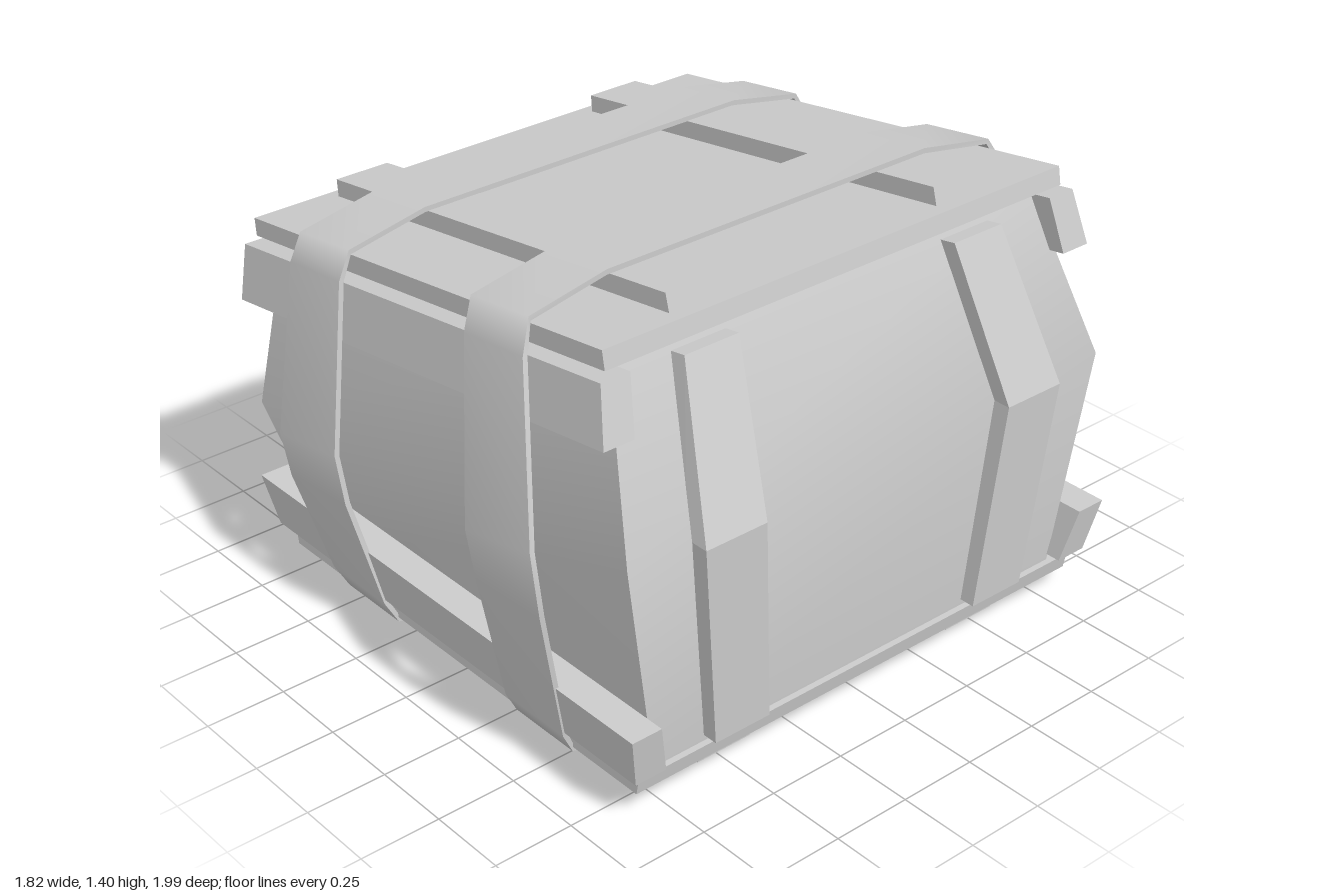
import * as THREE from 'three';

const material = new THREE.MeshStandardMaterial({ color: 0xcccccc });
const bentMaterial = new THREE.MeshStandardMaterial({ color: 0xcccccc, flatShading: true });

// Lofts four-cornered rings: smooth along the loft, sharp at the four corners.
function loft(name, rings, { closed = false, mat = material } = {}) {
  const positions = [], index = [];
  const n = rings.length;
  for (let side = 0; side < 4; side++) {
    const base = positions.length / 3;
    for (const ring of rings) positions.push(...ring[side], ...ring[(side + 1) % 4]);
    for (let i = 0; i < (closed ? n : n - 1); i++) {
      const a = base + i * 2, b = base + ((i + 1) % n) * 2;
      index.push(a, a + 1, b + 1, a, b + 1, b);
    }
  }
  if (!closed) {
    const base = positions.length / 3;
    for (const ring of [rings[0], rings[n - 1]]) positions.push(...ring.flat());
    index.push(base, base + 2, base + 1, base, base + 3, base + 2);
    index.push(base + 4, base + 5, base + 6, base + 4, base + 6, base + 7);
  }
  // Turn the faces outward whichever way the rings run
  const p = (i) => new THREE.Vector3().fromArray(positions, i * 3);
  let volume = 0;
  for (let i = 0; i < index.length; i += 3) volume += p(index[i]).dot(p(index[i + 1]).cross(p(index[i + 2])));
  if (volume < 0) index.reverse();

  const geometry = new THREE.BufferGeometry();
  geometry.setAttribute('position', new THREE.Float32BufferAttribute(positions, 3));
  geometry.setIndex(index);
  geometry.computeVertexNormals();
  const mesh = new THREE.Mesh(geometry, mat);
  mesh.name = name;
  return mesh;
}

// Tilted rectangular ring running from a left to a right edge
const level = (xl, yl, xr, yr, z0, z1) => [[xl, yl, z1], [xr, yr, z1], [xr, yr, z0], [xl, yl, z0]];

// Strap around the crate; half profile rows are z, left x, left y, right x, right y
function strap(name, rows) {
  const t = 0.016;
  const outline = [...rows, ...rows.map(([z, ...r]) => [-z, ...r]).reverse()];
  const n = outline.length;
  const mid = (r) => new THREE.Vector2(r[0], (r[2] + r[4]) / 2);
  const rings = outline.map((row, i) => {
    const a = mid(outline[(i + n - 1) % n]), b = mid(outline[(i + 1) % n]);
    const along = b.sub(a).normalize();
    const dz = along.y * t, dy = -along.x * t; // inward offset
    const [z, xl, yl, xr, yr] = row;
    return [[xl, yl, z], [xr, yr, z], [xr, yr + dy, z + dz], [xl, yl + dy, z + dz]];
  });
  return loft(name, rings, { closed: true });
}

export function createModel() {
  const crate = new THREE.Group();
  crate.name = 'crate';

  // Bulging body
  crate.add(loft('body', [
    level(-0.73, 0.11, 0.82, 0.11, -0.77, 0.77),
    level(-0.86, 0.55, 0.85, 0.8, -0.88, 0.88),
    level(-0.84, 1.085, 0.65, 1.295, -0.77, 0.77),
  ]));

  // Base and slanted lid
  crate.add(loft('base', [
    level(-0.78, 0.07, 0.83, 0.07, -0.84, 0.84),
    level(-0.79, 0.12, 0.84, 0.12, -0.84, 0.84),
  ]));
  crate.add(loft('lid', [
    level(-0.89, 1.075, 0.71, 1.3, -0.83, 0.83),
    level(-0.895, 1.13, 0.7, 1.355, -0.83, 0.83),
  ]));

  for (const s of [1, -1]) {
    // Battens across the lid and under the base
    crate.add(loft('lidBatten', [
      level(-0.845, 1.13, 0.65, 1.345, s * 0.39, s * 0.57),
      level(-0.85, 1.19, 0.635, 1.4, s * 0.39, s * 0.57),
    ]));
    crate.add(loft('baseBatten', [
      level(-0.72, 0.015, 0.78, 0.015, s * 0.39, s * 0.58),
      level(-0.72, 0.075, 0.78, 0.075, s * 0.39, s * 0.58),
    ]));

    // Boards along the front and back
    crate.add(loft('upperBoard', [
      level(-0.905, 0.88, 0.775, 1.12, s * 0.79, s * 0.89),
      level(-0.91, 1.05, 0.73, 1.285, s * 0.765, s * 0.86),
    ]));
    crate.add(loft('lowerBoard', [
      level(-0.82, 0.14, 0.87, 0.14, s * 0.77, s * 0.875),
      level(-0.85, 0.31, 0.9, 0.31, s * 0.81, s * 0.91),
    ]));

    // Bent battens on the two ends
    crate.add(loft('rightEndBatten', [
      level(0.8, 0.14, 0.87, 0.14, s * 0.4, s * 0.595),
      level(0.83, 0.8, 0.905, 0.8, s * 0.455, s * 0.665),
      level(0.66, 1.25, 0.72, 1.26, s * 0.395, s * 0.58),
    ], { mat: bentMaterial }));
    crate.add(loft('leftEndBatten', [
      level(-0.775, 0.14, -0.71, 0.14, s * 0.4, s * 0.595),
      level(-0.91, 0.55, -0.84, 0.55, s * 0.455, s * 0.665),
      level(-0.89, 1.04, -0.82, 1.05, s * 0.395, s * 0.58),
    ], { mat: bentMaterial }));
  }

  // Two straps wrapped right round
  crate.add(strap('rightStrap', [
    [0.58, 0.17, 1.35, 0.415, 1.385],
    [0.84, 0.175, 1.305, 0.42, 1.34],
    [0.885, 0.2, 1.22, 0.45, 1.25],
    [0.995, 0.32, 0.72, 0.6, 0.78],
    [0.97, 0.325, 0.55, 0.6, 0.57],
    [0.88, 0.315, 0.13, 0.57, 0.13],
    [0.84, 0.31, 0.055, 0.56, 0.055],
    [0.58, 0.31, 0, 0.56, 0],
  ]));
  crate.add(strap('leftStrap', [
    [0.58, -0.635, 1.235, -0.39, 1.27],
    [0.84, -0.635, 1.185, -0.39, 1.22],
    [0.885, -0.625, 1.11, -0.38, 1.14],
    [0.975, -0.61, 0.59, -0.325, 0.64],
    [0.96, -0.59, 0.45, -0.31, 0.48],
    [0.88, -0.525, 0.13, -0.265, 0.13],
    [0.84, -0.51, 0.055, -0.255, 0.055],
    [0.58, -0.505, 0, -0.255, 0],
  ]));

  return crate;
}
